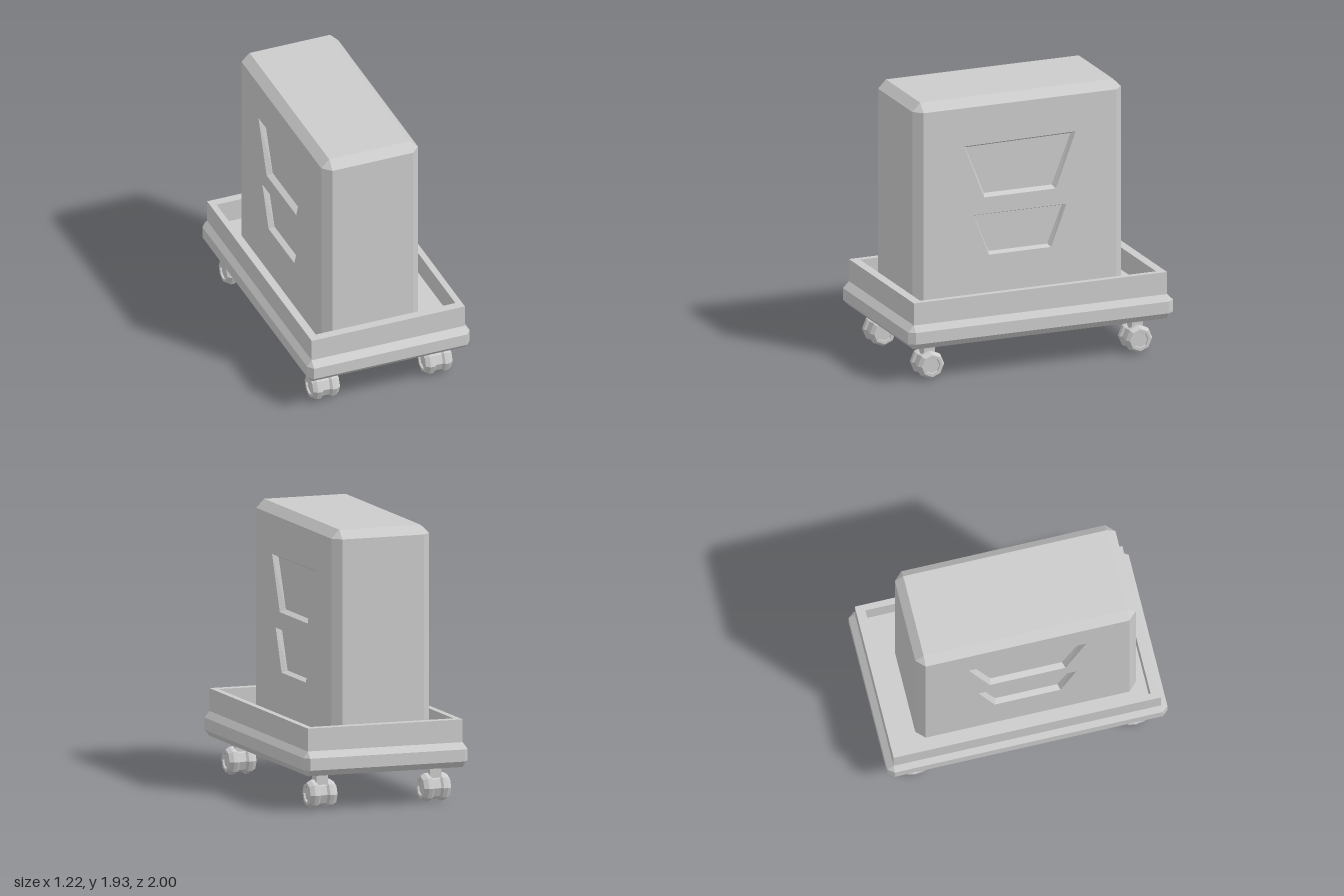
import * as THREE from 'three';

const material = new THREE.MeshStandardMaterial({ color: 0xcccccc, flatShading: true });

function addMesh(parent, name, geometry) {
  const mesh = new THREE.Mesh(geometry, material);
  mesh.name = name;
  parent.add(mesh);
  return mesh;
}

// Skin a stack of rings with quads; skip leaves out listed sides of the first band
function loft(rings, { skip = [], capStart = false, capEnd = true } = {}) {
  const pos = [];
  const tri = (a, b, c) => {
    const area = new THREE.Triangle(a, b, c).getArea();
    if (area > 1e-8) pos.push(...a.toArray(), ...b.toArray(), ...c.toArray());
  };
  const cap = (r) => {
    for (let i = 1; i < r.length - 1; i++) tri(r[0], r[i], r[i + 1]);
  };
  for (let k = 0; k < rings.length - 1; k++) {
    const a = rings[k], b = rings[k + 1];
    for (let i = 0; i < a.length; i++) {
      if (k === 0 && skip.includes(i)) continue;
      const j = (i + 1) % a.length;
      tri(a[i], a[j], b[j]);
      tri(a[i], b[j], b[i]);
    }
  }
  if (capStart) cap([...rings[0]].reverse());
  if (capEnd) cap(rings[rings.length - 1]);
  const geometry = new THREE.BufferGeometry();
  geometry.setAttribute('position', new THREE.Float32BufferAttribute(pos, 3));
  geometry.computeVertexNormals();
  return geometry;
}

// Horizontal rectangle with cut corners
function ring(hx, hz, cx, cz, y) {
  return [
    [hx, hz - cz], [hx, cz - hz], [hx - cx, -hz], [cx - hx, -hz],
    [-hx, cz - hz], [-hx, hz - cz], [cx - hx, hz], [hx - cx, hz],
  ].map(([x, z]) => new THREE.Vector3(x, y, z));
}

function rectangle(hx, hz) {
  return [[-hx, -hz], [hx, -hz], [hx, hz], [-hx, hz]].map(([x, y]) => new THREE.Vector2(x, y));
}

function createBase() {
  const base = new THREE.Group();
  base.name = 'base';
  const hx = 0.61, hz = 1, cx = 0.035, cz = 0.045;
  addMesh(base, 'basePlate', loft([
    ring(hx - cx, hz - cz, 0, 0, 0.26),
    ring(hx, hz, cx, cz, 0.305),
    ring(hx, hz, cx, cz, 0.39),
    ring(hx - cx, hz - cz, 0, 0, 0.435),
  ], { capStart: true }));

  // Raised tray wall around the plate
  const shape = new THREE.Shape(rectangle(0.575, 0.955));
  shape.holes.push(new THREE.Path(rectangle(0.53, 0.89)));
  const rim = new THREE.ExtrudeGeometry(shape, { depth: 0.165, bevelEnabled: false });
  addMesh(base, 'trayRim', rim.rotateX(-Math.PI / 2)).position.y = 0.43;
  return base;
}

function createBody() {
  const body = new THREE.Group();
  body.name = 'body';
  const hx = 0.3625, hz = 0.7875, c = 0.06, y0 = 0.43, y1 = 1.875, y2 = 1.935;

  // Chamfered shell, open where the side panels sit
  addMesh(body, 'shell', loft([
    ring(hx, hz, c, c, y0),
    ring(hx, hz, c, c, y1),
    ring(hx - c, hz - c, 0, 0, y2),
  ], { skip: [0, 4] }));

  // Tapered recesses, wider at the top
  const slots = [
    [[-0.27, 1.21], [0.27, 1.21], [0.42, 1.607], [-0.42, 1.597]],
    [[-0.235, 0.79], [0.235, 0.79], [0.35, 1.09], [-0.35, 1.09]],
  ];
  for (const [name, turn] of [['leftSide', 0], ['rightSide', Math.PI]]) {
    const side = new THREE.Group();
    side.name = name;
    side.rotation.y = turn;
    const w = hz - c;
    const panel = new THREE.Shape([[-w, y0], [w, y0], [w, y1], [-w, y1]]
      .map(([u, v]) => new THREE.Vector2(u, v)));
    for (const slot of slots) {
      panel.holes.push(new THREE.Path(slot.map(([u, v]) => new THREE.Vector2(u, v))));
      const mid = (slot[0][1] + slot[2][1]) / 2;
      const outer = slot.map(([u, v]) => new THREE.Vector3(u, v, 0));
      const inner = slot.map(([u, v]) => new THREE.Vector3(u * 0.945, mid + (v - mid) * 0.9, -0.04));
      addMesh(side, 'recess', loft([outer, inner]).rotateY(Math.PI / 2)).position.x = hx;
    }
    addMesh(side, 'sidePanel', new THREE.ShapeGeometry(panel).rotateY(Math.PI / 2)).position.x = hx;
    body.add(side);
  }
  body.position.set(-0.0625, 0, 0.0375);
  return body;
}

function createCaster() {
  const caster = new THREE.Group();
  caster.name = 'caster';
  addMesh(caster, 'stem', new THREE.BoxGeometry(0.085, 0.13, 0.085)).position.y = 0.205;

  // Eight-sided twin wheel with a waist and sunken hubs
  const half = [[0, 0.088], [0.055, 0.088], [0.058, 0.1], [0.08, 0.1], [0.1, 0.07], [0.1, 0.04], [0.085, 0.025]];
  const profile = [
    ...half.map(([r, t]) => new THREE.Vector2(r, -t)),
    ...half.map(([r, t]) => new THREE.Vector2(r, t)).reverse(),
  ];
  const wheel = new THREE.LatheGeometry(profile, 8).rotateZ(Math.PI / 2);
  addMesh(caster, 'wheel', wheel).position.y = 0.105;
  return caster;
}

export function createModel() {
  const model = new THREE.Group();
  model.name = 'wheeledTowerStand';
  model.add(createBase(), createBody());
  for (const x of [-0.427, 0.418]) {
    for (const z of [-0.78, 0.79]) {
      const caster = createCaster();
      caster.position.set(x, 0, z);
      model.add(caster);
    }
  }
  return model;
}
